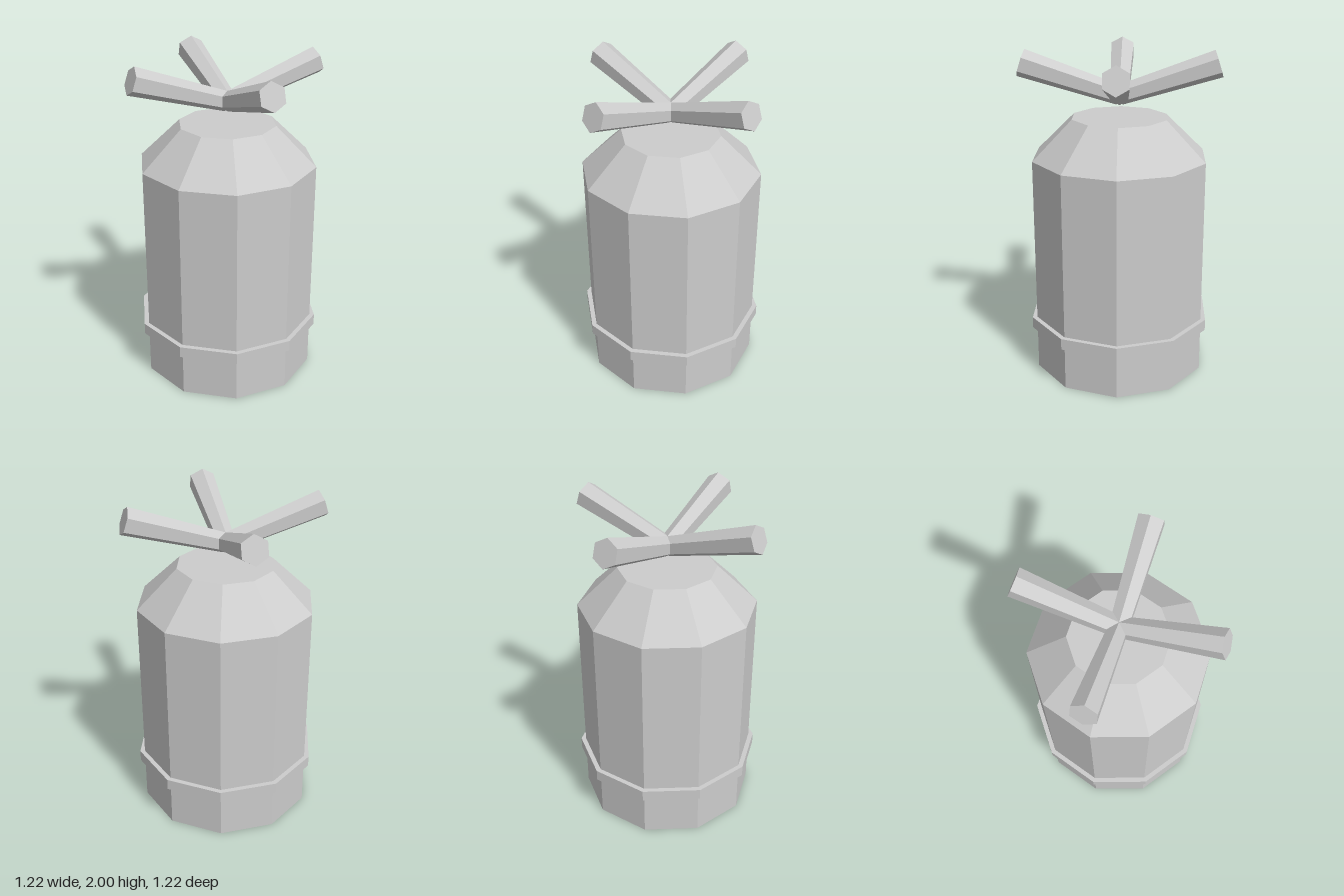
import * as THREE from 'three';

const SIDES = 10;

export function createModel() {
  const group = new THREE.Group();
  const grey = new THREE.MeshStandardMaterial({ color: 0xcccccc, flatShading: true, side: THREE.DoubleSide });
  grey.name = 'light grey';

  const add = (name, geometry) => {
    const mesh = new THREE.Mesh(geometry, grey);
    mesh.name = name;
    group.add(mesh);
    return mesh;
  };
  // Ten-sided turned part with corners on the x axis
  const turned = (points) => new THREE.LatheGeometry(
    points.map(([r, y]) => new THREE.Vector2(r, y)), SIDES, Math.PI / 2);

  // Thin-walled body, open at the bottom, with sloped shoulder and flat top
  add('bodyWall', turned([[0.54, 0], [0.54, 1.36]]));
  add('shoulder', turned([[0.54, 1.36], [0.295, 1.6]]));
  add('topCap', turned([[0.295, 1.6], [0, 1.6]]));

  // Floor inside the body, seen from the open bottom
  add('innerFloor', turned([[0, 0.34], [0.54, 0.34]]));

  // Raised band around the lower body
  add('band', turned([[0.54, 0.275], [0.57, 0.275], [0.57, 0.345], [0.54, 0.345]]));

  // Four tapered six-sided handle bars rising outwards from the centre
  const length = 0.615;
  const bar = new THREE.CylinderGeometry(0.084, 0.06, length, 6);
  bar.rotateY(Math.PI / 6);
  bar.translate(0, length / 2, 0);
  bar.rotateZ(-THREE.MathUtils.degToRad(72));
  for (let i = 0; i < 4; i++) {
    const mesh = add('handleBar' + (i + 1), bar);
    mesh.position.y = 1.73;
    mesh.rotation.y = i * Math.PI / 2;
  }
  return group;
}
